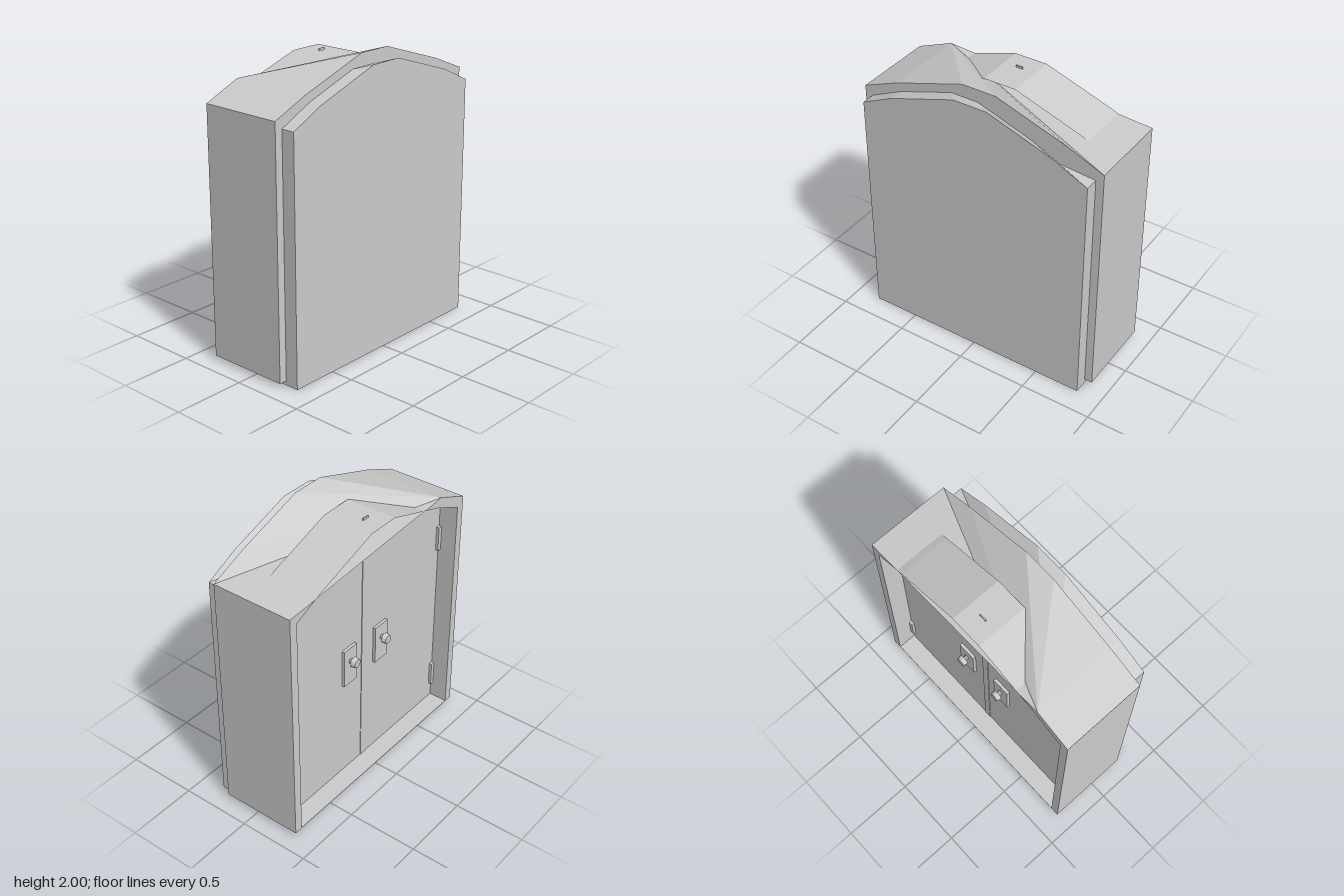
import * as THREE from 'three';

const solid = new THREE.MeshStandardMaterial({ color: 0xcccccc, flatShading: true });
const thin = new THREE.MeshStandardMaterial({ color: 0xcccccc, flatShading: true, side: THREE.DoubleSide });

function mesh(name, geometry, material = solid) {
  const m = new THREE.Mesh(geometry, material);
  m.name = name;
  return m;
}

function box(name, w, h, d, x, y, z) {
  const m = mesh(name, new THREE.BoxGeometry(w, h, d));
  m.position.set(x, y, z);
  return m;
}

// Faces built as fans; each fan is a list of corners, counterclockwise from outside
function fans(list) {
  const pos = [];
  for (const f of list)
    for (let i = 1; i < f.length - 1; i++) pos.push(...f[0], ...f[i], ...f[i + 1]);
  const g = new THREE.BufferGeometry();
  g.setAttribute('position', new THREE.Float32BufferAttribute(pos, 3));
  g.computeVertexNormals();
  return g;
}

// Arch corners [z, y] running from +z to -z
const outerArch = [[0.88, 1.727], [0.62, 1.835], [0.12, 2], [-0.12, 2], [-0.62, 1.835], [-0.88, 1.727]];
const bodyArch = [[0.825, 1.67], [0.595, 1.78], [0.12, 1.94], [-0.12, 1.94], [-0.595, 1.78], [-0.825, 1.67]];
const soffitArch = [[0.82, 1.67], [0.59, 1.772], [0.115, 1.925], [-0.115, 1.925], [-0.59, 1.765], [-0.82, 1.67]];

// Full arch at x1, falling to a single off-centre peak at x0
function archFaces(arch, x0, x1, y0) {
  const back = arch.map(([z, y]) => [x1, y, z]);
  const at = (x, [z, y]) => [x, y, z];
  const first = arch[0], last = arch[arch.length - 1];
  const I = at(x0, first), H = at(x0, arch[1]), G = at(x0, last);
  const low = (x, p) => [x, y0, p[0]];
  const Ib = low(x0, first), Gb = low(x0, last), Ab = low(x1, first), Fb = low(x1, last);
  return {
    roof: [H, I, ...back, G],
    backCap: [Ab, Fb, ...back.slice().reverse()],
    doorCap: [Gb, Ib, I, H, G],
    sides: [[Ib, Ab, back[0], I], [Fb, Gb, G, back[back.length - 1]]],
    bottom: [Ib, Gb, Fb, Ab],
  };
}

// Prism with a [z, y] outline, spanning x0 to x1
function prism(name, outline, x0, x1) {
  const shape = new THREE.Shape(outline.map(([z, y]) => new THREE.Vector2(z, y)));
  const g = new THREE.ExtrudeGeometry(shape, { depth: x1 - x0, bevelEnabled: false });
  g.rotateY(-Math.PI / 2).translate(x1, 0, 0);
  return mesh(name, g);
}

export function createModel() {
  const model = new THREE.Group();
  model.name = 'archedCabinet';

  // Inner body; its -x face carries the two doors
  const b = archFaces(bodyArch, -0.205, 0.34, 0);
  model.add(mesh('body', fans([b.roof, b.backCap, b.doorCap, ...b.sides, b.bottom])));

  // Surround: roof, back rim, side walls and sill
  const surround = new THREE.Group();
  surround.name = 'surround';
  const s = archFaces(outerArch, -0.34, 0.245, 0.03);
  surround.add(
    mesh('roof', fans([s.roof]), thin),
    mesh('backRim', fans([s.backCap]), thin),
    prism('leftWall', [[0.82, 0.03], [0.88, 0.03], [0.88, 1.727], [0.62, 1.835], [0.45, 1.818], [0.59, 1.772], [0.82, 1.67]], -0.34, 0.245),
    prism('rightWall', [[-0.88, 0.03], [-0.82, 0.03], [-0.82, 1.67], [-0.65, 1.743], [-0.88, 1.727]], -0.34, 0.245),
    box('sill', 0.585, 0.004, 1.76, -0.0475, 0.032, 0),
  );
  model.add(surround);

  // Thin arched lining over the doorway
  const strips = [];
  for (let i = 0; i < soffitArch.length - 1; i++) {
    const [z0, y0] = soffitArch[i], [z1, y1] = soffitArch[i + 1];
    strips.push([[-0.34, y0, z0], [0.02, y0, z0], [0.02, y1, z1], [-0.34, y1, z1]]);
  }
  model.add(mesh('archLining', fans(strips), thin));

  // Strip where the doors meet
  model.add(box('doorStrip', 0.008, 1.91, 0.05, -0.205, 0.985, 0));

  // Hinges, handle plates and knobs, mirrored across the doors
  for (const side of [-1, 1]) {
    for (const y of [0.24, 1.39])
      model.add(box('hinge', 0.02, 0.18, 0.03, -0.215, y, side * 0.805));
    model.add(box('handlePlate', 0.022, 0.28, 0.13, -0.215, 0.91, side * 0.165));
    const knob = new THREE.Group();
    knob.name = 'knob';
    const stem = mesh('knobStem', new THREE.CylinderGeometry(0.018, 0.018, 0.04, 10));
    stem.position.y = 0.02;
    const head = mesh('knobHead', new THREE.CylinderGeometry(0.03, 0.038, 0.032, 12));
    head.position.y = 0.045;
    knob.add(stem, head);
    knob.rotation.z = Math.PI / 2;
    knob.position.set(-0.222, 0.95, side * 0.165);
    model.add(knob);
  }
  return model;
}
